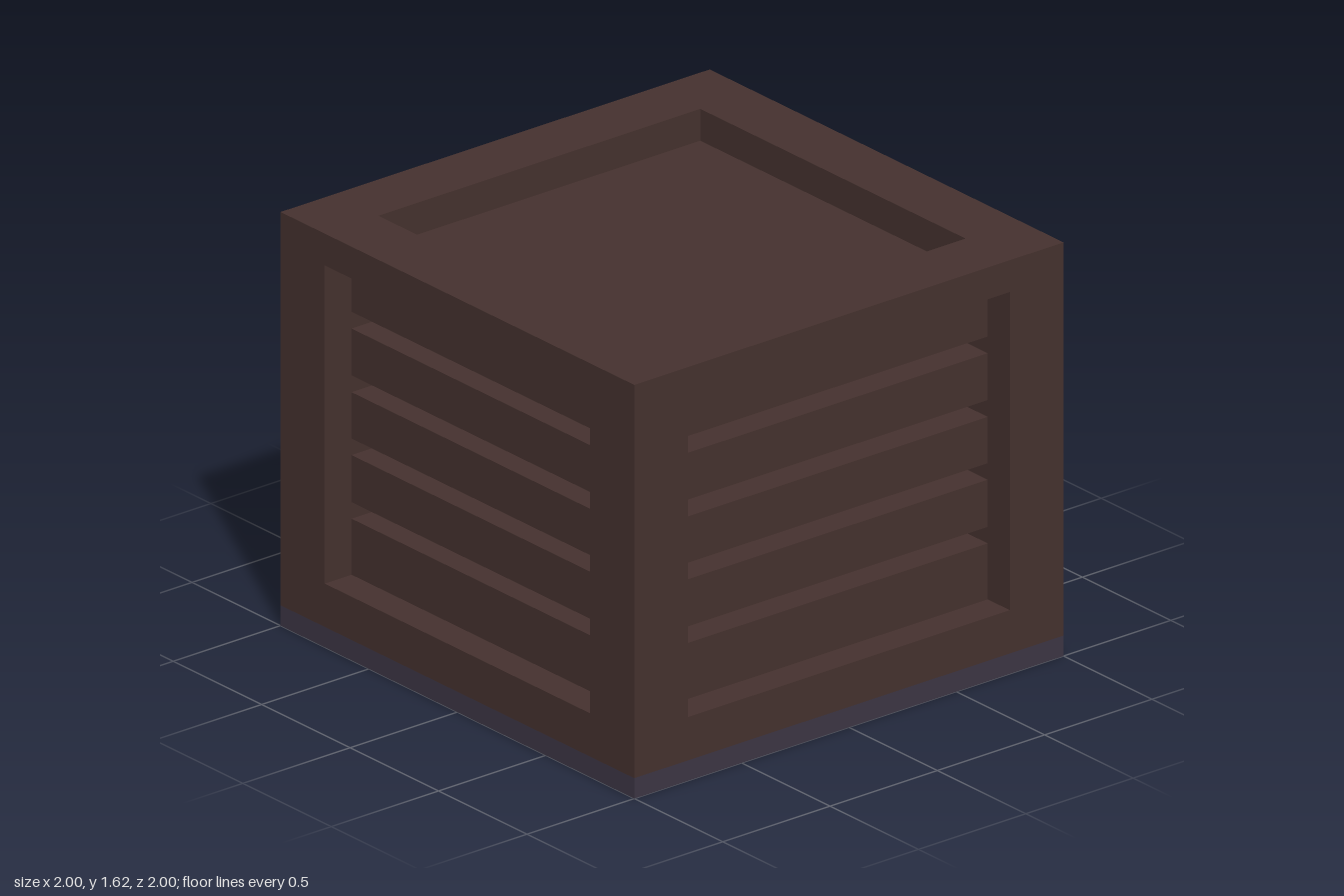
import * as THREE from 'three';

const material = (color) => new THREE.MeshStandardMaterial({ color, flatShading: true });

export function createModel() {
  const crate = new THREE.Group();
  crate.name = 'crate';

  const wood = material(0x46322f);
  const gapWood = material(0x2f1f24);
  const baseWood = material(0x3d3645);

  // Box given by its size, its bottom height and its centre in x and z
  function addBox(name, parent, mat, [w, h, d], bottom, x = 0, z = 0) {
    const mesh = new THREE.Mesh(new THREE.BoxGeometry(w, h, d), mat);
    mesh.position.set(x, bottom + h / 2, z);
    mesh.name = name;
    parent.add(mesh);
    return mesh;
  }

  // Tinted foot strip and the solid lower frame above it
  addBox('footStrip', crate, baseWood, [2, 0.08, 2], 0);
  addBox('lowerFrame', crate, wood, [2, 0.17, 2], 0.08);

  // Square corner posts
  for (const x of [-0.875, 0.875]) {
    for (const z of [-0.875, 0.875]) {
      addBox('cornerPost', crate, wood, [0.25, 1.25, 0.25], 0.25, x, z);
    }
  }

  // Upper frame: a square ring around the sunken lid
  const ring = new THREE.Shape([
    new THREE.Vector2(-1, -1), new THREE.Vector2(1, -1),
    new THREE.Vector2(1, 1), new THREE.Vector2(-1, 1),
  ]);
  ring.holes.push(new THREE.Path([
    new THREE.Vector2(-0.75, -0.75), new THREE.Vector2(-0.75, 0.75),
    new THREE.Vector2(0.75, 0.75), new THREE.Vector2(0.75, -0.75),
  ]));
  const ringGeometry = new THREE.ExtrudeGeometry(ring, { depth: 0.125, bevelEnabled: false });
  ringGeometry.rotateX(-Math.PI / 2);
  const upperFrame = new THREE.Mesh(ringGeometry, wood);
  upperFrame.position.y = 1.5;
  upperFrame.name = 'upperFrame';
  crate.add(upperFrame);

  // Dark core behind the slats, with the lid panel on top
  addBox('core', crate, gapWood, [1.5, 1.2, 1.5], 0.25);
  addBox('lid', crate, wood, [1.5, 0.05, 1.5], 1.45);

  // Five recessed slats on each of the four sides
  const slats = [[0.25, 0.47], [0.535, 0.72], [0.785, 0.967], [1.033, 1.217], [1.283, 1.5]];
  ['front', 'left', 'back', 'right'].forEach((side, i) => {
    const panel = new THREE.Group();
    panel.name = side + 'Slats';
    panel.rotation.y = i * Math.PI / 2;
    for (const [bottom, top] of slats) {
      addBox('slat', panel, wood, [1.5, top - bottom, 0.125], bottom, 0, 0.8125);
    }
    crate.add(panel);
  });

  return crate;
}
